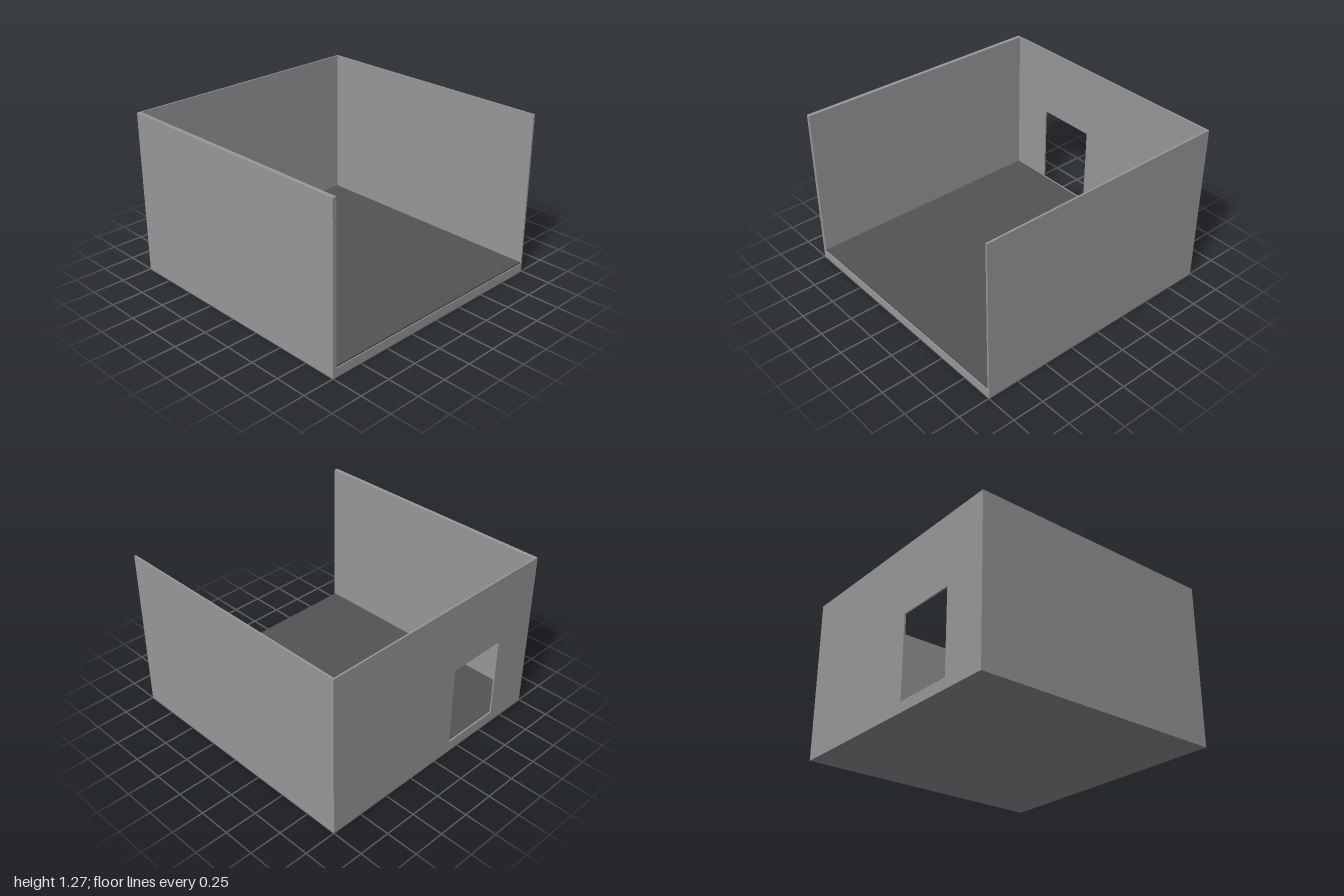
import * as THREE from 'three';

export function createModel() {
  const model = new THREE.Group();
  const wallGrey = new THREE.MeshStandardMaterial({ color: 0x999999 });
  const floorGrey = new THREE.MeshStandardMaterial({ color: 0x535353 });
  wallGrey.name = 'wall grey';
  floorGrey.name = 'floor grey';

  const height = 1.27, slabTop = 0.068, floorTop = 0.08;
  const leftInner = -0.988, frontInner = 0.97, backInner = -0.986;

  // Box given by its lower and upper corners
  function box(name, material, [x0, y0, z0], [x1, y1, z1]) {
    const mesh = new THREE.Mesh(new THREE.BoxGeometry(x1 - x0, y1 - y0, z1 - z0), material);
    mesh.position.set((x0 + x1) / 2, (y0 + y1) / 2, (z0 + z1) / 2);
    mesh.name = name;
    model.add(mesh);
  }

  // Base slab and the dark floor laid on it, open towards +x
  box('baseSlab', wallGrey, [leftInner, 0, backInner], [1, slabTop, frontInner]);
  box('floor', floorGrey, [leftInner, slabTop, backInner], [0.993, floorTop, frontInner]);

  // Front and back walls
  box('frontWall', wallGrey, [leftInner, 0, frontInner], [1, height, 1]);
  box('backWall', wallGrey, [leftInner, 0, -1], [1, height, backInner]);

  // Side wall with a doorway, drawn in (-z, y) and turned to face x
  const rect = (P, a, b, c, d) =>
    new P([[a, b], [c, b], [c, d], [a, d]].map(([x, y]) => new THREE.Vector2(x, y)));
  const outline = rect(THREE.Shape, -1, 0, 1, height);
  outline.holes.push(rect(THREE.Path, -0.64, floorTop, -0.16, 0.72));
  const sideWall = new THREE.Mesh(
    new THREE.ExtrudeGeometry(outline, { depth: leftInner + 1, bevelEnabled: false }), wallGrey);
  sideWall.rotation.y = Math.PI / 2;
  sideWall.position.x = -1;
  sideWall.name = 'doorwayWall';
  model.add(sideWall);

  return model;
}
